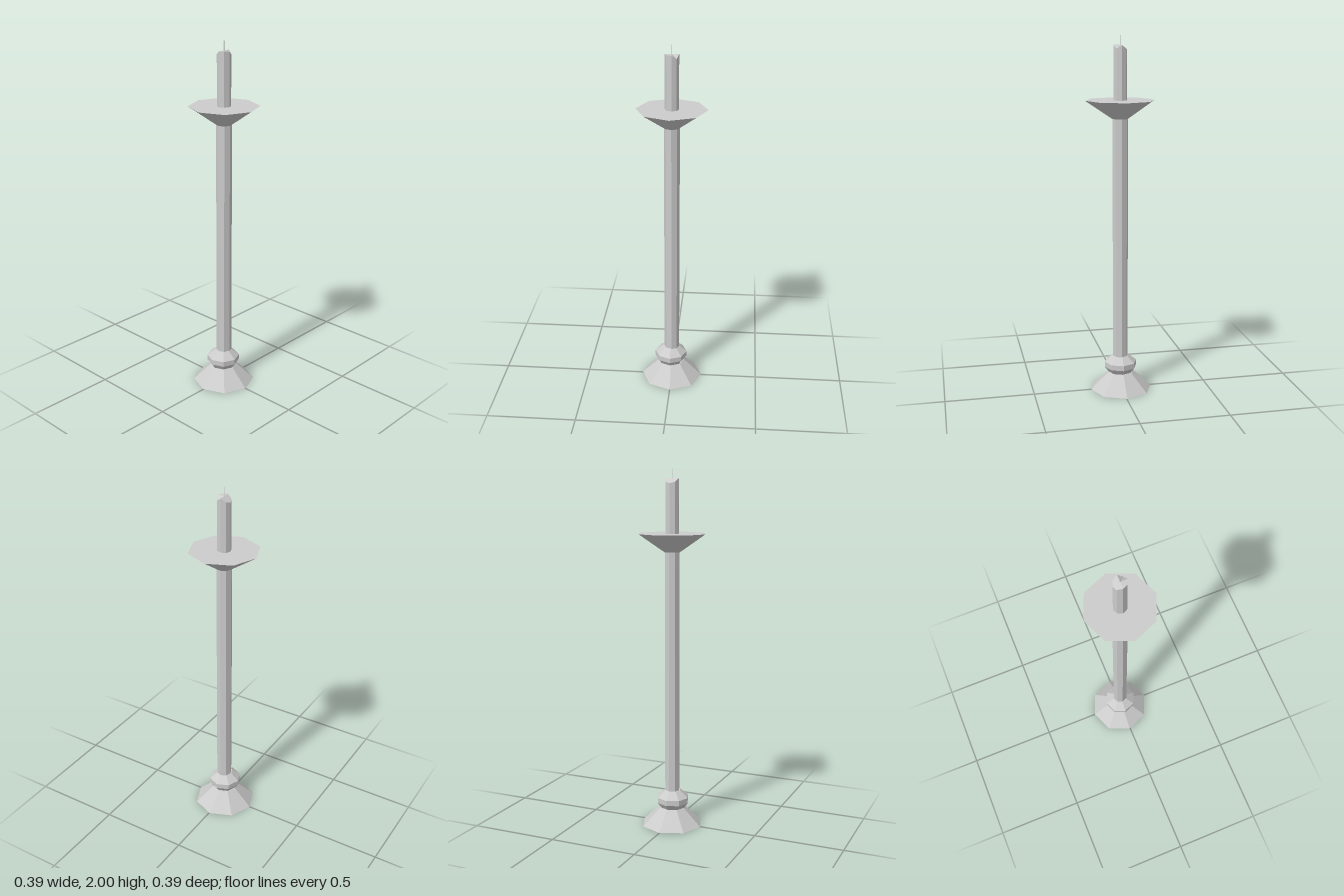
import * as THREE from 'three';

const SIDES = 8;

export function createModel() {
  const model = new THREE.Group();
  const material = new THREE.MeshStandardMaterial({ color: 0xcccccc, flatShading: true });

  const add = (name, geometry, x = 0, y = 0, z = 0) => {
    const mesh = new THREE.Mesh(geometry, material);
    mesh.name = name;
    mesh.position.set(x, y, z);
    model.add(mesh);
    return mesh;
  };

  // Eight-sided turned part; profile of [radius, height] runs bottom to top
  const turned = (name, profile, x, z) =>
    add(name, new THREE.LatheGeometry(profile.map(([r, y]) => new THREE.Vector2(r, y)), SIDES), x, 0, z);

  turned('foot', [[0, 0], [0.175, 0], [0.072, 0.1], [0, 0.1]], -0.004, 0);
  turned('knob', [[0, 0.1], [0.07, 0.1], [0.092, 0.13], [0.092, 0.16], [0.045, 0.2], [0, 0.2]], -0.002, 0.005);
  turned('stem', [[0.043, 0.195], [0.043, 1.56]]);
  turned('dripPan', [[0, 1.555], [0.045, 1.555], [0.193, 1.655], [0, 1.655]]);

  // Candle, its top melted down on the left-hand side and at one back corner
  const bottom = 1.65, top = 1.95, radius = 0.038;
  const candle = new THREE.CylinderGeometry(radius, radius, top - bottom, SIDES);
  candle.translate(0, (top + bottom) / 2, 0);
  const p = candle.attributes.position;
  for (let i = 0; i < p.count; i++) {
    if (p.getY(i) < top - 0.01) continue;
    const x = p.getX(i), z = p.getZ(i);
    if (x < -0.01) p.setY(i, top + x * 0.68);
    else if (x > 0.01 && z < -0.01) p.setY(i, top - 0.02);
  }
  candle.computeVertexNormals();
  add('candle', candle);

  // Wick
  add('wick', new THREE.BoxGeometry(0.003, 0.06, 0.003), 0, 1.97, 0);

  return model;
}
